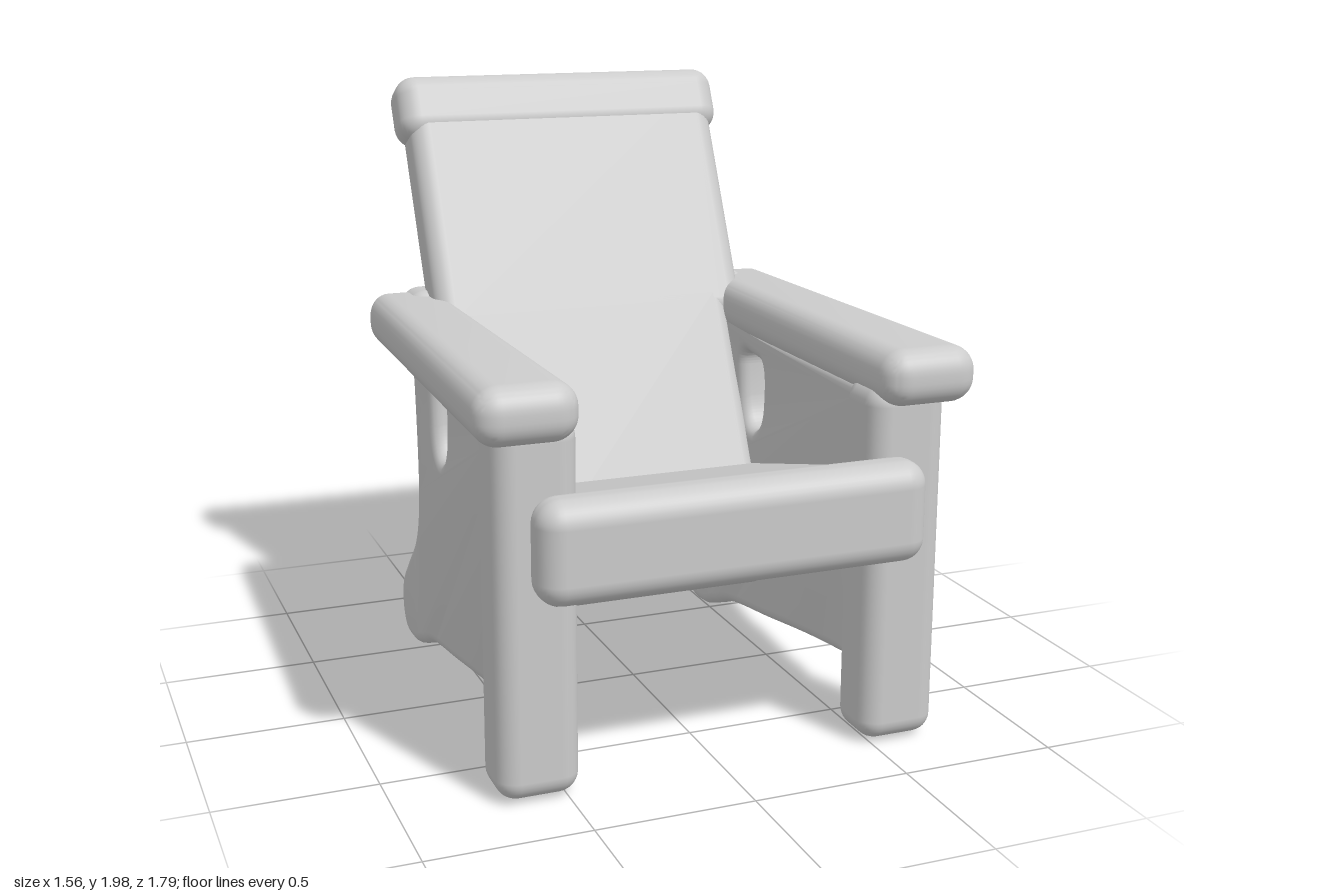
import * as THREE from 'three';
import { RoundedBoxGeometry } from 'three/addons/geometries/RoundedBoxGeometry.js';
import { toCreasedNormals } from 'three/addons/utils/BufferGeometryUtils.js';

const material = new THREE.MeshStandardMaterial({ color: 0xcccccc });

function addMesh(parent, name, geometry) {
  const mesh = new THREE.Mesh(geometry, material);
  mesh.name = name;
  parent.add(mesh);
  return mesh;
}

// Rounded block given by its extents on each axis
function block(parent, name, [x0, x1], [y0, y1], [z0, z1], radius = 0.05) {
  const geometry = new RoundedBoxGeometry(x1 - x0, y1 - y0, z1 - z0, 4, radius);
  geometry.translate((x0 + x1) / 2, (y0 + y1) / 2, (z0 + z1) / 2);
  return addMesh(parent, name, geometry);
}

// Extent on the +x side, or its mirror image
const mirrored = (side, a, b) => (side > 0 ? [a, b] : [-b, -a]);

// Side slab with swept rear foot and a slot under the arm; outline is (z, y)
function sidePanelGeometry() {
  const shape = new THREE.Shape();
  shape.moveTo(0.68, 1.14);
  shape.lineTo(0.68, 0.24);
  shape.lineTo(0.56, 0.23);
  shape.splineThru([
    [0.3, 0.195], [0, 0.145], [-0.28, 0.1], [-0.42, 0.05], [-0.54, 0.01],
    [-0.66, 0.02], [-0.715, 0.1], [-0.7, 0.21], [-0.6, 0.32], [-0.5, 0.42],
    [-0.45, 0.53], [-0.435, 0.68], [-0.45, 0.95], [-0.48, 1.14],
  ].map(([z, y]) => new THREE.Vector2(z, y)));
  shape.closePath();

  const slot = new THREE.Path();
  slot.moveTo(-0.07, 1.05);
  slot.lineTo(-0.17, 1.06);
  slot.quadraticCurveTo(-0.21, 1.06, -0.21, 1.01);
  slot.lineTo(-0.2, 0.9);
  slot.quadraticCurveTo(-0.18, 0.79, -0.11, 0.8);
  slot.quadraticCurveTo(-0.04, 0.83, -0.04, 0.93);
  slot.quadraticCurveTo(-0.03, 1.04, -0.07, 1.05);
  shape.holes.push(slot);

  const bevel = 0.04;
  const geometry = new THREE.ExtrudeGeometry(shape, {
    depth: 0.15 - 2 * bevel, bevelEnabled: true, bevelThickness: bevel,
    bevelSize: bevel, bevelOffset: -bevel, bevelSegments: 4, curveSegments: 40,
  });
  geometry.translate(0, 0, -(0.15 - 2 * bevel) / 2);
  geometry.rotateY(-Math.PI / 2);
  return toCreasedNormals(geometry, 0.7);
}

// Armrest, wider at the front than at the back
function armGeometry(side) {
  const geometry = new RoundedBoxGeometry(0.3, 0.175, 1.51, 5, 0.075);
  const p = geometry.attributes.position;
  for (let i = 0; i < p.count; i++) {
    const t = (p.getZ(i) + 0.755) / 1.51;
    const width = THREE.MathUtils.lerp(0.87, 1.04, t);
    const centre = THREE.MathUtils.lerp(0.605, 0.627, t);
    p.setX(i, p.getX(i) * width + side * centre);
  }
  geometry.translate(0, 1.188, 0.115);
  geometry.computeVertexNormals();
  return toCreasedNormals(geometry, 0.9);
}

export function createModel() {
  const chair = new THREE.Group();
  chair.name = 'armchair';

  // Mirrored side frames
  for (const side of [1, -1]) {
    const frame = new THREE.Group();
    frame.name = side > 0 ? 'leftSide' : 'rightSide';
    addMesh(frame, 'sidePanel', sidePanelGeometry()).position.x = side * 0.555;
    addMesh(frame, 'armrest', armGeometry(side));
    block(frame, 'frontLeg', mirrored(side, 0.46, 0.715), [0.015, 1.16], [0.59, 0.8], 0.065);
    chair.add(frame);
  }

  // Seat sloping down toward the back, with a thick front apron
  const seat = block(chair, 'seat', [-0.49, 0.49], [-0.16, 0], [-0.98, 0], 0.03);
  seat.position.set(0, 0.94, 0.86);
  seat.rotation.x = -0.26;
  block(chair, 'frontApron', [-0.615, 0.61], [0.63, 0.945], [0.74, 0.91], 0.075);

  // Reclined back: panels with a wide shallow frame around the upper rear
  const back = new THREE.Group();
  back.name = 'backrest';
  back.position.set(0, 0.36, 0.065);
  back.rotation.x = -0.451;
  block(back, 'lowerPanel', [-0.48, 0.48], [-0.04, 1.02], [-0.12, 0], 0.04);
  block(back, 'upperPanel', [-0.53, 0.53], [0.92, 1.78], [-0.135, 0], 0.04);
  block(back, 'topRail', [-0.585, 0.585], [1.6, 1.83], [-0.185, 0.005], 0.07);
  for (const side of [1, -1]) {
    block(back, 'lowerStile', mirrored(side, 0.4, 0.49), [0, 1.05], [-0.145, 0], 0.045);
    block(back, 'upperStile', mirrored(side, 0.4, 0.555), [0.9, 1.79], [-0.18, 0], 0.06);
  }
  chair.add(back);

  // Rail joining the arms behind the back
  block(chair, 'rearCrossRail', [-0.63, 0.63], [1.09, 1.29], [-0.65, -0.45], 0.07);

  return chair;
}
